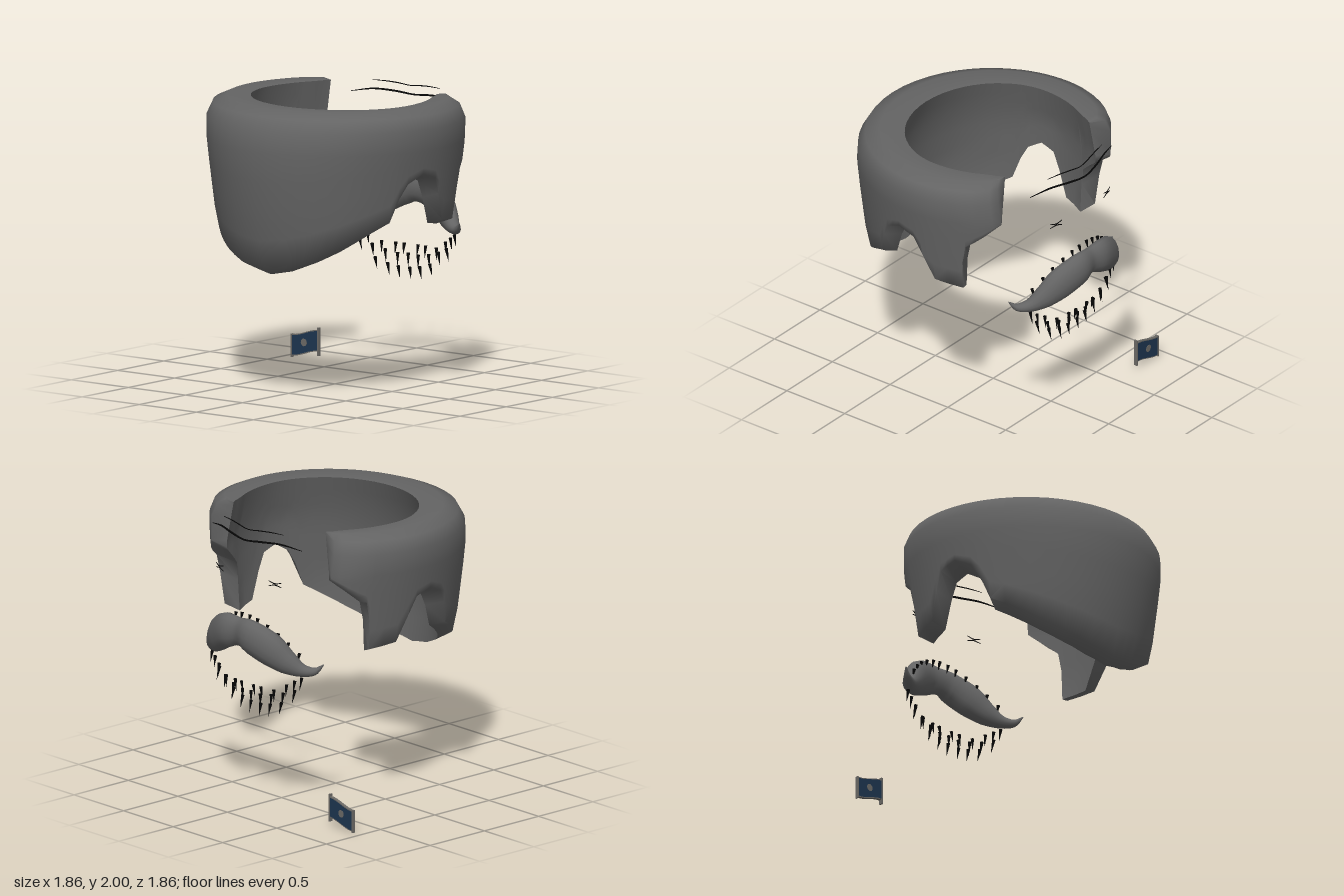
import * as THREE from 'three';
import { mergeGeometries, toCreasedNormals } from 'three/addons/utils/BufferGeometryUtils.js';

const material = (name, color) => {
  const m = new THREE.MeshStandardMaterial({ color });
  m.name = name;
  return m;
};

// Piecewise-linear lookup: rows are [key, value, value...]
function lookup(rows, key, col = 1) {
  if (key <= rows[0][0]) return rows[0][col];
  for (let i = 1; i < rows.length; i++) {
    const a = rows[i - 1], b = rows[i];
    if (key <= b[0]) return THREE.MathUtils.lerp(a[col], b[col], (key - a[0]) / (b[0] - a[0]));
  }
  return rows[rows.length - 1][col];
}

// Skin a list of closed rings, with strip caps on both ends
function skin(rings, crease) {
  const n = rings[0].length, index = [];
  const quad = (a, b, c, d) => index.push(a, b, c, a, c, d);
  for (let i = 0; i < rings.length - 1; i++) {
    for (let j = 0; j < n; j++) {
      const k = (j + 1) % n;
      quad(i * n + j, (i + 1) * n + j, (i + 1) * n + k, i * n + k);
    }
  }
  const e = (rings.length - 1) * n;
  for (let j = 0; j < n / 2 - 1; j++) {
    const p = n - 1 - j;
    quad(j, j + 1, p - 1, p);
    quad(e + p, e + p - 1, e + j + 1, e + j);
  }
  const g = new THREE.BufferGeometry();
  g.setAttribute('position', new THREE.Float32BufferAttribute(rings.flat().flatMap((v) => [v.x, v.y, v.z]), 3));
  g.setIndex(index);
  return toCreasedNormals(g, crease);
}

// Elliptical tube through stations [x, y, z, halfHeight, halfDepth]
function taperedTube(stations, steps, sides) {
  const path = new THREE.CatmullRomCurve3(stations.map((s) => new THREE.Vector3(s[0], s[1], s[2])));
  const size = new THREE.CatmullRomCurve3(stations.map((s) => new THREE.Vector3(s[3], s[4], 0)));
  const up = new THREE.Vector3(0, 1, 0), rings = [];
  for (let i = 0; i <= steps; i++) {
    const p = path.getPoint(i / steps), t = path.getTangent(i / steps), r = size.getPoint(i / steps);
    const s = new THREE.Vector3().crossVectors(t, up).normalize();
    const u = new THREE.Vector3().crossVectors(s, t);
    rings.push(Array.from({ length: sides }, (_, j) => {
      const a = (j / sides) * Math.PI * 2;
      return p.clone().addScaledVector(s, Math.cos(a) * r.y).addScaledVector(u, Math.sin(a) * r.x);
    }));
  }
  return skin(rings, 1.2);
}

// Half list starting on the centre line, extended to the other side
const mirrored = (half) => [...half.slice(1).reverse().map((s) => [-s[0], ...s.slice(1)]), ...half];

// Lower edge height by angle from the front, in degrees
const HEM = [[0, 0.855], [15, 0.89], [30, 0.96], [42, 1.03], [52, 1.1], [66, 1.2], [70, 1.36], [74, 1.46], [82, 1.52],
  [90, 1.48], [94, 1.36], [100, 1.17], [114.5, 1.14], [115.2, 1.36], [117, 1.49], [126, 1.58], [134, 1.66]];
// Wall radii: [y, side, front, back]
const OUTER = [[0.9, 0.74, 0.815, 0.8], [1.24, 0.81, 0.885, 0.81], [1.7, 0.875, 0.93, 0.85],
  [1.87, 0.895, 0.905, 0.83], [1.96, 0.86, 0.85, 0.79], [2, 0.77, 0.74, 0.75]];
const INNER = [[0.86, 0.66, 0.73, 0.66], [1.24, 0.7, 0.76, 0.7], [1.7, 0.69, 0.67, 0.7], [1.99, 0.62, 0.56, 0.68]];

function hairGeometry() {
  const angles = [];
  HEM.forEach(([a], i) => {
    if (i && a - HEM[i - 1][0] > 7) angles.push((a + HEM[i - 1][0]) / 2);
    angles.push(a);
  });
  const all = [...angles.slice(1).map((a) => -a).reverse(), ...angles];
  const rings = all.map((deg) => {
    const th = THREE.MathUtils.degToRad(deg), hem = lookup(HEM, Math.abs(deg));
    // The wall thins towards its two back ends
    const thin = 0.04 * THREE.MathUtils.smoothstep(Math.abs(deg), 122, 134);
    const at = (rows, y, scale) => {
      const rz = lookup(rows, y, Math.cos(th) > 0 ? 2 : 3);
      return new THREE.Vector3(lookup(rows, y) * Math.sin(th) * scale, y, rz * Math.cos(th) * scale);
    };
    const outer = [0, 0.25, 0.5, 0.75, 1].map((t) => at(OUTER, THREE.MathUtils.lerp(hem + 0.038, 1.72, t), 1 - thin));
    [1.87, 1.96, 2].forEach((y) => outer.push(at(OUTER, y, 1 - thin)));
    const inner = [1, 0.9, 0.75, 0.6, 0.45, 0.3, 0.15, 0].map((t) => at(INNER, THREE.MathUtils.lerp(hem, 1.99, t), 1 + thin));
    return [...outer, ...inner];
  });
  return skin(rings, 1.4);
}

// A thin bristle hanging from its root; positive lean tips it backwards
function bristle(x, y, z, length, lean) {
  const g = new THREE.ConeGeometry(0.013, length, 5);
  g.rotateX(Math.PI).translate(0, -length / 2, 0).rotateX(lean);
  return g.translate(x, y, z);
}

// Wavy flag panel, inset by a margin and centred on z = 0
function flagPanel(inset, depth) {
  const x0 = -0.93 + inset, x1 = -0.7 - inset, s = new THREE.Shape(), n = 12;
  const wave = (x) => 0.05 * THREE.MathUtils.smoothstep(x, -0.93, -0.7);
  for (let i = 0; i <= n; i++) {
    const x = THREE.MathUtils.lerp(x0, x1, i / n);
    s[i ? 'lineTo' : 'moveTo'](x, 0.01 + inset + wave(x));
  }
  for (let i = n; i >= 0; i--) {
    const x = THREE.MathUtils.lerp(x0, x1, i / n);
    s.lineTo(x, 0.158 - inset + wave(x));
  }
  return new THREE.ExtrudeGeometry(s, { depth, bevelEnabled: false }).translate(0, 0, -depth / 2);
}

export function createModel() {
  const hairGrey = material('hair grey', 0x646464);
  const black = material('black', 0x060606);
  const navy = material('flag navy', 0x1d3550);
  const trim = material('trim grey', 0x6c6a66);
  const model = new THREE.Group();
  const head = new THREE.Group();
  head.name = 'head';
  head.position.x = 0.03;
  model.add(head);
  const add = (parent, name, geometry, mat) => {
    const mesh = new THREE.Mesh(geometry, mat);
    mesh.name = name;
    parent.add(mesh);
  };

  add(head, 'hair', hairGeometry(), hairGrey);

  // Moustache with upturned tips
  add(head, 'moustache', taperedTube(mirrored([
    [0, 1.25, -0.855, 0.1, 0.055], [0.11, 1.24, -0.86, 0.12, 0.07], [0.24, 1.18, -0.815, 0.12, 0.075],
    [0.36, 1.09, -0.75, 0.085, 0.065], [0.45, 1.04, -0.69, 0.045, 0.045], [0.52, 1.04, -0.64, 0.026, 0.028],
    [0.57, 1.09, -0.605, 0.004, 0.004]]), 56, 14), hairGrey);

  // Stubble: rows of [x, y, z, length, lean] roots on one side
  const roots = [];
  [0.06, 0.13, 0.24, 0.34, 0.4, 0.45].forEach((x) => roots.push([x, 0.87 + Math.max(0, x - 0.25) * 0.6, -0.79 + x * x * 0.45, 0.09, x - 0.25]));
  [0.09, 0.19, 0.29, 0.38].forEach((x) => roots.push([x, 0.8 + x * x * 0.6, -0.755 + x * x * 0.4, 0.1, x - 0.1]));
  [0.05, 0.14, 0.24].forEach((x) => roots.push([x, 0.72 + x * x * 0.8, -0.71 + x * x * 0.3, 0.09, 0.15 + x * 0.5]));
  [0.04, 0.11, 0.19, 0.27, 0.34, 0.41].forEach((x) => roots.push([x, 1.37 - x * x * 1.3, -0.8 + x * x * 0.7, 0.07, 0.25]));
  const bristles = [bristle(0, 0.81, -0.755, 0.1, 0)];
  roots.forEach(([x, ...r]) => bristles.push(bristle(x, ...r), bristle(-x, ...r)));
  add(head, 'stubble', mergeGeometries(bristles), black);

  // Forehead lines
  add(head, 'lowerForeheadLine', taperedTube(mirrored([
    [0, 1.895, -0.815, 0.006, 0.006], [0.15, 1.908, -0.795, 0.007, 0.007],
    [0.3, 1.914, -0.75, 0.006, 0.006], [0.45, 1.89, -0.695, 0.002, 0.002]]), 30, 6), black);
  add(head, 'upperForeheadLine', taperedTube(mirrored([
    [0, 1.962, -0.78, 0.003, 0.003], [0.1, 1.972, -0.77, 0.004, 0.004],
    [0.2, 1.978, -0.75, 0.0035, 0.0035], [0.3, 1.978, -0.73, 0.0015, 0.0015]]), 24, 6), black);

  // Small creases beside the eyes
  for (const s of [-1, 1]) {
    for (const d of [-1, 1]) {
      const stations = [[0.23, 1.635 + d * 0.018, -0.8, 0.002, 0.002], [0.28, 1.635 + d * 0.005, -0.79, 0.004, 0.004],
        [0.33, 1.635 + d * 0.016, -0.775, 0.002, 0.002]].map(([x, ...r]) => [s * x, ...r]);
      add(head, 'eyeCrease', taperedTube(stations, 8, 6), black);
    }
  }

  // Flag with frame, edge posts and a plain round patch
  const flag = new THREE.Group();
  flag.name = 'flag';
  flag.position.z = -0.688;
  model.add(flag);
  add(flag, 'flagFrame', flagPanel(0, 0.022), trim);
  add(flag, 'flagCloth', flagPanel(0.007, 0.024), navy);
  add(flag, 'flagPatch', new THREE.CylinderGeometry(0.027, 0.027, 0.027, 9).rotateX(Math.PI / 2).translate(-0.82, 0.112, 0), trim);
  add(flag, 'flagPole', new THREE.BoxGeometry(0.012, 0.195, 0.025).translate(-0.699, 0.128, 0), trim);
  add(flag, 'flagEdge', new THREE.BoxGeometry(0.01, 0.16, 0.025).translate(-0.931, 0.08, 0), trim);
  return model;
}
